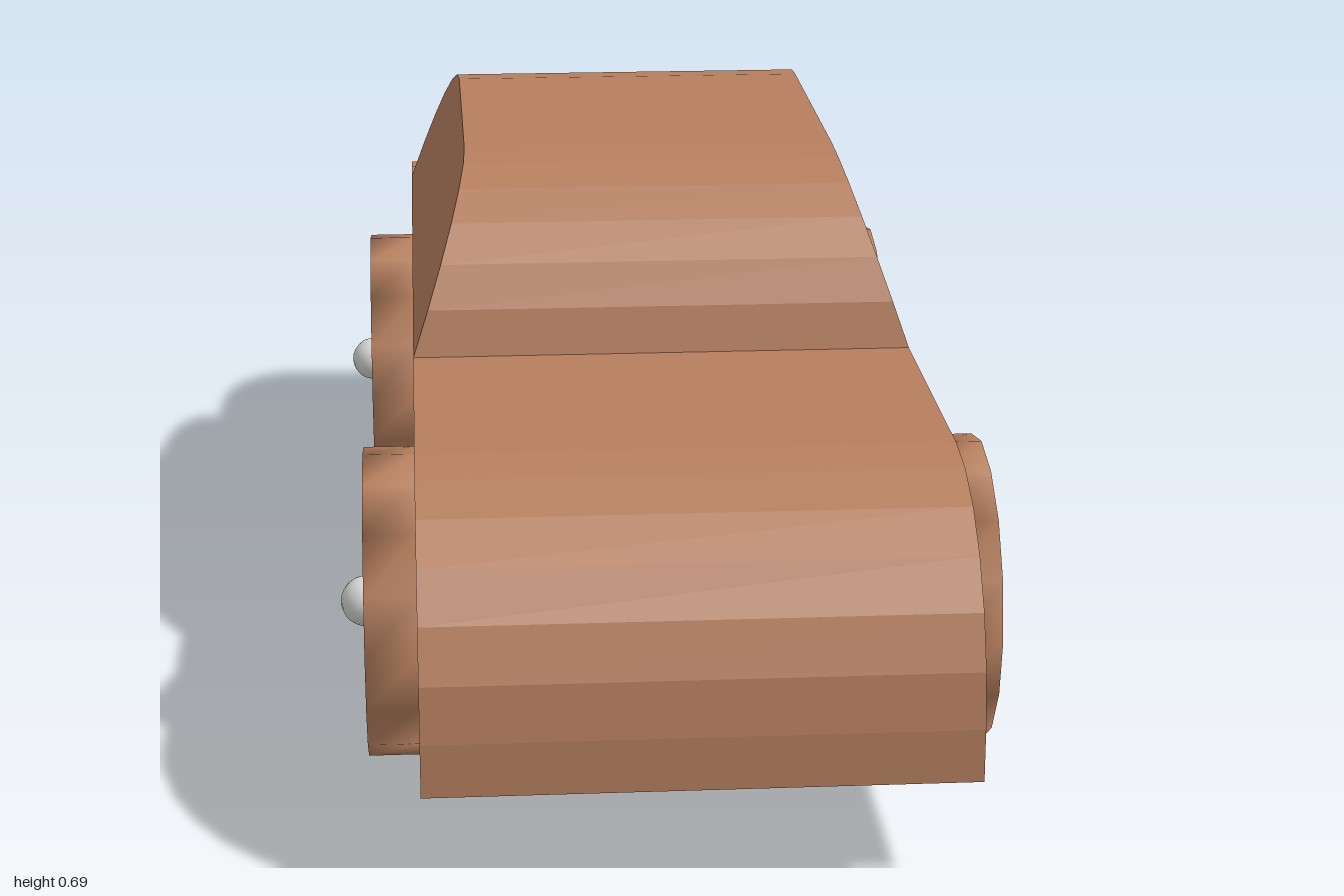
import * as THREE from 'three';
import { mergeVertices } from 'three/addons/utils/BufferGeometryUtils.js';

const HALF = 0.333; // half width of the body
const BELT = 0.467; // height where body and cabin meet

// Extrude a side profile (shape x -> z, shape y -> y) across the width
function extrudeAcross(shape, width, curveSegments) {
  const geo = new THREE.ExtrudeGeometry(shape, { depth: width, bevelEnabled: false, curveSegments });
  geo.translate(0, 0, -width / 2);
  geo.rotateY(-Math.PI / 2);
  return geo;
}

export function createModel() {
  const wood = new THREE.MeshStandardMaterial({ color: 0xb67f5e });
  wood.name = 'wood';
  const metal = new THREE.MeshStandardMaterial({ color: 0xd8d8d6 });
  metal.name = 'metal';
  const car = new THREE.Group();
  car.name = 'toyCar';

  const add = (geo, mat, name, x = 0, y = 0, z = 0) => {
    const mesh = new THREE.Mesh(geo, mat);
    mesh.name = name;
    mesh.position.set(x, y, z);
    car.add(mesh);
  };

  // Body block with rounded nose and tail
  const body = new THREE.Shape();
  body.moveTo(-1, 0.133);
  body.lineTo(1, 0.133);
  body.absarc(0.733, 0.2, 0.267, 0, Math.PI / 2, false);
  body.absarc(-0.733, 0.2, 0.267, Math.PI / 2, Math.PI, false);
  body.closePath();
  add(extrudeAcross(body, HALF * 2, 3), wood, 'body');

  // Cabin with rounded ends, its sides leaning inwards
  const cabin = new THREE.Shape();
  cabin.moveTo(-0.667, BELT);
  cabin.lineTo(0.333, BELT);
  cabin.absarc(0.07, 0.423, 0.267, Math.asin(0.044 / 0.267), Math.PI / 2, false);
  cabin.absarc(-0.377, 0.39, 0.3, Math.PI / 2, Math.PI - Math.asin(0.077 / 0.3), false);
  cabin.closePath();
  const cabinGeo = extrudeAcross(cabin, HALF * 2, 3);
  const p = cabinGeo.attributes.position;
  for (let i = 0; i < p.count; i++) {
    p.setX(i, Math.sign(p.getX(i)) * (HALF - (p.getY(i) - BELT) * 0.341));
  }
  cabinGeo.computeVertexNormals();
  add(cabinGeo, wood, 'cabin');

  // Wheel discs with normals smoothed over the rim
  const disc = new THREE.Shape();
  disc.absarc(0, 0, 0.2, 0, Math.PI * 2, false);
  let wheelGeo = extrudeAcross(disc, 0.067, 8);
  wheelGeo.deleteAttribute('normal');
  wheelGeo.deleteAttribute('uv');
  wheelGeo = mergeVertices(wheelGeo, 1e-4);
  wheelGeo.computeVertexNormals();

  // Axle pins show as small round heads on the wheels
  const pinGeo = new THREE.SphereGeometry(0.033, 16, 12);

  for (const [side, x] of [['left', 1], ['right', -1]]) {
    for (const [end, z] of [['Front', 0.533], ['Rear', -0.533]]) {
      add(wheelGeo, wood, `${side}${end}Wheel`, x * 0.3665, 0.2, z);
      add(pinGeo, metal, `${side}${end}AxlePin`, x * 0.4, 0.2, z);
    }
  }
  return car;
}
